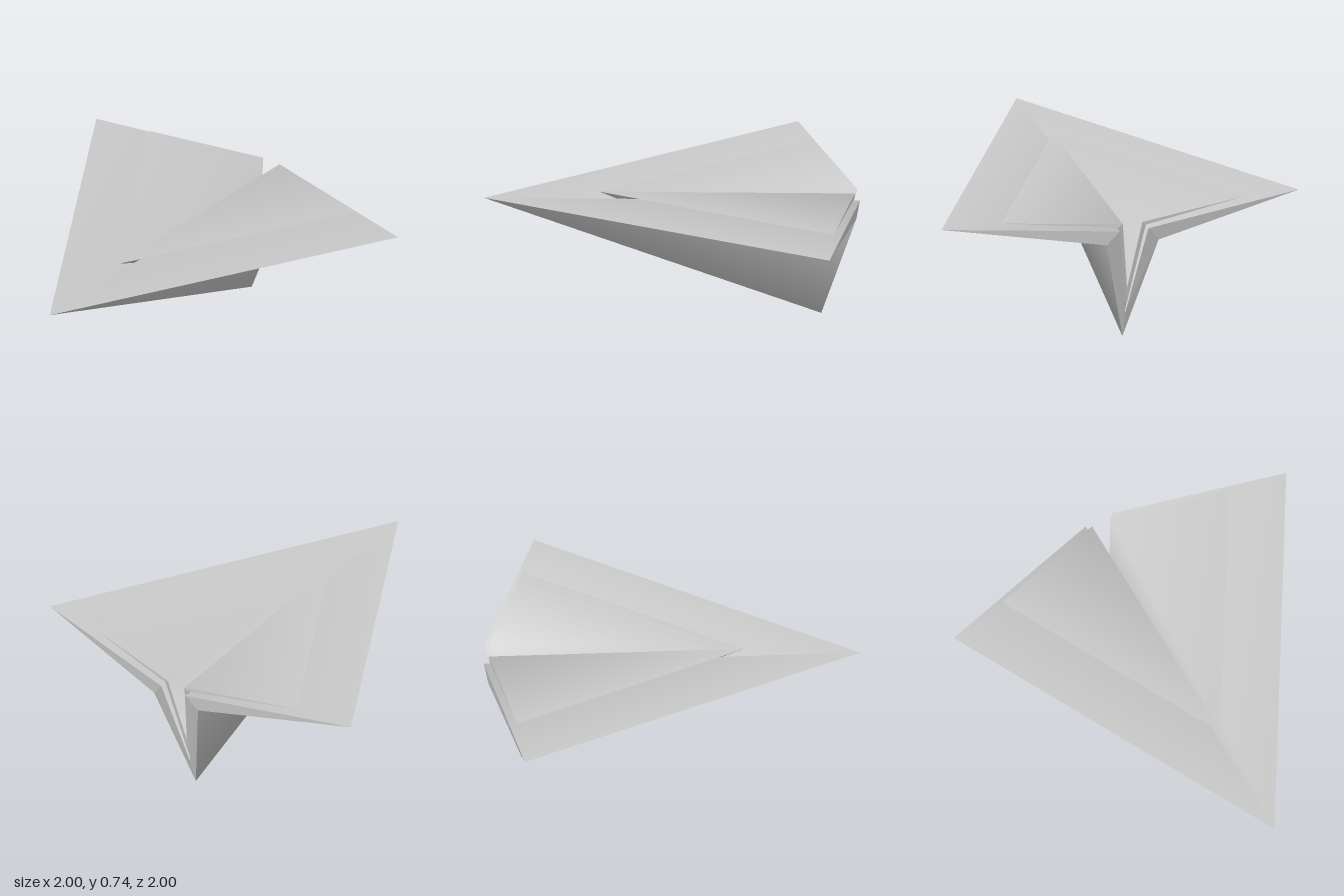
import * as THREE from 'three';

const paper = new THREE.MeshStandardMaterial({ color: 0xc8c8c8 });
paper.name = 'paper grey';

// Builds one face set from named corners, mirrored to both sides.
// Corners on the centre line are shared, so folds inside a set shade smoothly.
function mirroredFaces(name, corners, triangles, flat) {
  const keys = Object.keys(corners);
  const positions = [];
  for (const side of [1, -1]) {
    for (const key of keys) {
      const [x, y, z] = corners[key];
      positions.push(x * side, y, z);
    }
  }
  const right = (key) => keys.indexOf(key) + (corners[key][0] === 0 ? 0 : keys.length);
  const index = [];
  for (const [a, b, c] of triangles) {
    index.push(keys.indexOf(a), keys.indexOf(b), keys.indexOf(c));
    index.push(right(a), right(c), right(b));
  }
  let geometry = new THREE.BufferGeometry();
  geometry.setAttribute('position', new THREE.Float32BufferAttribute(positions, 3));
  geometry.setIndex(index);
  if (flat) geometry = geometry.toNonIndexed();
  geometry.computeVertexNormals();
  const mesh = new THREE.Mesh(geometry, paper);
  mesh.name = name;
  return mesh;
}

// One folded sheet: two wings around a deep central V
function foldedSheet(name, corners) {
  const sheet = new THREE.Group();
  sheet.name = name;
  sheet.add(
    mirroredFaces('wingTopsAndValley', corners, [
      ['nose', 'tip', 'fold'],
      ['nose', 'fold', 'valley'],
    ], false),
    mirroredFaces('wingUndersides', corners, [['tip', 'nose', 'under']], true),
    mirroredFaces('keelSides', corners, [['nose', 'keel', 'under']], false),
    mirroredFaces('rearEdge', corners, [
      ['tip', 'under', 'fold'],
      ['under', 'valley', 'fold'],
      ['under', 'keel', 'valley'],
    ], true),
  );
  return sheet;
}

export function createModel() {
  const model = new THREE.Group();
  model.name = 'paperPlane';

  // Large outer sheet with the keel
  model.add(foldedSheet('outerSheet', {
    nose: [0, 0.72, 1],
    tip: [1, 0.7, -0.76],
    fold: [0.08, 0.67, -1],
    under: [0.145, 0.59, -0.975],
    keel: [0, 0, -0.8],
    valley: [0, 0.15, -0.85],
  }));

  // Smaller inner sheet resting in the V
  model.add(foldedSheet('innerSheet', {
    nose: [0, 0.735, 0.385],
    tip: [0.68, 0.717, -0.81],
    fold: [0.055, 0.7, -0.975],
    under: [0.075, 0.68, -0.97],
    keel: [0, 0.17, -0.85],
    valley: [0, 0.3, -0.88],
  }));

  return model;
}
